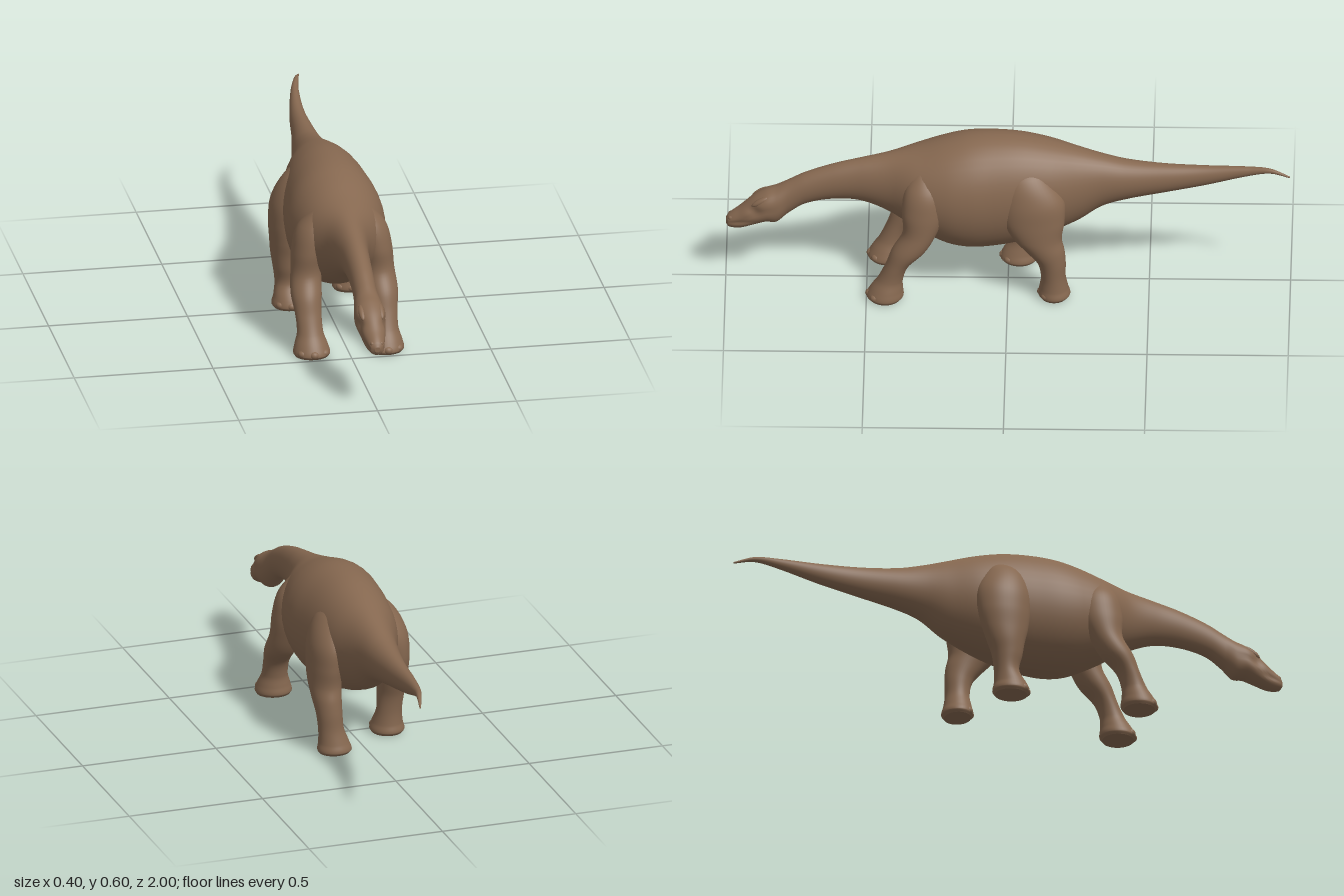
import * as THREE from 'three';

const RADIAL = 40;

// Catmull-Rom interpolation through every column of a row table
function smoothRows(rows, steps) {
  const out = [];
  const n = rows.length;
  for (let i = 0; i < n - 1; i++) {
    const p0 = rows[Math.max(i - 1, 0)], p1 = rows[i], p2 = rows[i + 1], p3 = rows[Math.min(i + 2, n - 1)];
    for (let s = 0; s < steps; s++) {
      const t = s / steps;
      out.push(p1.map((v, k) => {
        // slopes respect the uneven spacing of the first column
        const h = p2[0] - p1[0];
        const m1 = (p2[k] - p0[k]) / (p2[0] - p0[0]) * h;
        const m2 = (p3[k] - p1[k]) / (p3[0] - p1[0]) * h;
        const a = t * t * t, b = t * t;
        return (2 * a - 3 * b + 1) * v + (a - 2 * b + t) * m1 + (3 * b - 2 * a) * p2[k] + (a - b) * m2;
      }));
    }
  }
  out.push(rows[n - 1]);
  return out;
}

// Elliptical skin over rows; place(row, cos, sin) gives the surface point
function loft(rows, steps, place) {
  const rings = smoothRows(rows, steps);
  const pos = [], index = [];
  const addRing = (row) => {
    const start = pos.length / 3;
    for (let j = 0; j < RADIAL; j++) {
      const a = (j / RADIAL) * Math.PI * 2;
      pos.push(...place(row, Math.cos(a), Math.sin(a)));
    }
    return start;
  };
  rings.forEach(addRing);
  for (let i = 0; i < rings.length - 1; i++) {
    for (let j = 0; j < RADIAL; j++) {
      const k = (j + 1) % RADIAL;
      const a = i * RADIAL + j, b = a + RADIAL, c = i * RADIAL + k, d = c + RADIAL;
      index.push(a, b, c, c, b, d);
    }
  }
  // Flat end caps with their own vertices
  [rings[0], rings[rings.length - 1]].forEach((row, end) => {
    const start = addRing(row);
    const centre = pos.length / 3;
    pos.push(...place(row, 0, 0));
    for (let j = 0; j < RADIAL; j++) {
      const k = (j + 1) % RADIAL;
      if (end === 0) index.push(centre, start + j, start + k);
      else index.push(centre, start + k, start + j);
    }
  });
  const geo = new THREE.BufferGeometry();
  geo.setAttribute('position', new THREE.Float32BufferAttribute(pos, 3));
  geo.setIndex(index);
  geo.computeVertexNormals();
  return geo;
}

const bump = (v, centre, width) => Math.exp(-(((v - centre) / width) ** 2));

// Head, neck, trunk and tail: z, bottom, top, centre x, half width
const TORSO = [
  [1.0, 0.222, 0.242, 0, 0.01], [0.99, 0.209, 0.258, 0, 0.024], [0.95, 0.206, 0.29, 0, 0.036],
  [0.9, 0.222, 0.335, 0, 0.046], [0.86, 0.235, 0.36, 0, 0.053], [0.82, 0.234, 0.376, 0, 0.052],
  [0.78, 0.268, 0.398, 0, 0.044], [0.72, 0.308, 0.43, 0, 0.042], [0.62, 0.33, 0.467, 0, 0.046],
  [0.52, 0.325, 0.493, 0, 0.056], [0.42, 0.285, 0.516, 0, 0.083], [0.32, 0.225, 0.543, 0, 0.142],
  [0.22, 0.175, 0.577, 0.003, 0.17], [0.14, 0.157, 0.596, 0.003, 0.175], [0.05, 0.16, 0.602, 0.003, 0.166],
];
const TAIL = [
  [-0.05, 0.18, 0.596, 0.003, 0.153], [-0.15, 0.215, 0.575, 0.003, 0.133], [-0.25, 0.262, 0.546, 0.005, 0.098],
  [-0.33, 0.318, 0.523, 0.008, 0.074], [-0.42, 0.35, 0.503, 0.012, 0.059], [-0.55, 0.38, 0.492, 0.018, 0.042],
  [-0.7, 0.415, 0.49, 0.024, 0.028], [-0.85, 0.464, 0.5, 0.043, 0.015], [-0.93, 0.487, 0.505, 0.063, 0.009],
  [-1.0, 0.48, 0.486, 0.083, 0.003],
];

function placeTorso([z, lo, hi, cx, hw], c, s) {
  const y = (lo + hi) / 2 + s * (hi - lo) / 2;
  let w = hw * c;
  // Boxier skull, sunken eye sockets and a shallow mouth line
  const skull = bump(z, 0.89, 0.07);
  w *= 1 + 0.14 * skull * Math.abs(Math.sin(2 * Math.atan2(s, c)));
  w *= 1 - 0.2 * bump(z, 0.905, 0.025) * bump(y, 0.298, 0.018);
  w *= 1 - 0.12 * bump(z, 0.95, 0.045) * bump(y, 0.235 + (0.98 - z) * 0.2, 0.006);
  return [cx + w, y, z];
}

// Legs: y, back z, front z, distance from the middle, half width
const FRONT_LEG = [
  [0, 0.378, 0.49, 0.133, 0.06], [0.012, 0.368, 0.5, 0.133, 0.066], [0.04, 0.37, 0.487, 0.134, 0.059],
  [0.08, 0.37, 0.46, 0.135, 0.047], [0.14, 0.348, 0.432, 0.137, 0.047], [0.2, 0.29, 0.41, 0.137, 0.055],
  [0.27, 0.25, 0.372, 0.131, 0.055], [0.35, 0.22, 0.375, 0.12, 0.06], [0.43, 0.22, 0.365, 0.1, 0.06],
  [0.5, 0.26, 0.33, 0.07, 0.035],
];
const LEFT_HIND_LEG = [
  [0, -0.212, -0.116, 0.113, 0.055], [0.012, -0.222, -0.108, 0.113, 0.062], [0.04, -0.215, -0.112, 0.116, 0.055],
  [0.09, -0.206, -0.118, 0.125, 0.046], [0.15, -0.206, -0.105, 0.13, 0.047], [0.2, -0.202, -0.065, 0.132, 0.052],
  [0.25, -0.192, -0.02, 0.13, 0.057], [0.32, -0.202, 0.018, 0.124, 0.062], [0.4, -0.2, 0.028, 0.11, 0.068],
  [0.48, -0.15, 0.02, 0.085, 0.06], [0.54, -0.1, -0.02, 0.06, 0.025],
];
const RIGHT_HIND_LEG = [
  [0, -0.096, 0.02, 0.128, 0.055], [0.012, -0.105, 0.03, 0.128, 0.062], [0.04, -0.1, 0.02, 0.128, 0.055],
  [0.09, -0.1, -0.01, 0.13, 0.046], [0.15, -0.11, 0, 0.135, 0.048], [0.2, -0.128, 0.008, 0.137, 0.053],
  [0.25, -0.145, 0.02, 0.136, 0.057], [0.32, -0.16, 0.03, 0.132, 0.064], [0.4, -0.16, 0.034, 0.117, 0.07],
  [0.48, -0.13, 0.02, 0.088, 0.06], [0.54, -0.1, -0.02, 0.06, 0.025],
];

export function createModel() {
  const model = new THREE.Group();
  model.name = 'longNeckedDinosaur';
  const hide = new THREE.MeshStandardMaterial({ color: 0x866850 });
  hide.name = 'brownHide';

  const add = (parent, name, geo) => {
    const mesh = new THREE.Mesh(geo, hide);
    mesh.name = name;
    parent.add(mesh);
    return mesh;
  };

  add(model, 'headNeckBodyAndTail', loft([...TORSO, ...TAIL], 8, placeTorso));

  // Brow ridges and nostril swellings
  for (const side of [1, -1]) {
    const brow = add(model, 'browRidge', new THREE.SphereGeometry(1, 20, 14));
    brow.scale.set(0.012, 0.011, 0.035);
    brow.position.set(side * 0.034, 0.329, 0.878);
    brow.rotation.x = 0.55;
    const nostril = add(model, 'nostril', new THREE.SphereGeometry(1, 16, 12));
    nostril.scale.set(0.009, 0.009, 0.013);
    nostril.position.set(side * 0.016, 0.25, 0.979);
  }

  // Legs with three blunt toes each
  const addLeg = (name, rows, side) => {
    const leg = new THREE.Group();
    leg.name = name;
    model.add(leg);
    add(leg, 'limb', loft(rows, 6, ([y, lo, hi, cx, hw], c, s) =>
      [side * cx + hw * c, y, (lo + hi) / 2 + s * (hi - lo) / 2]));
    const [, back, front, cx, hw] = rows[1];
    for (const angle of [-0.85, 0, 0.85]) {
      const toe = add(leg, 'toe', new THREE.SphereGeometry(1, 16, 12));
      toe.scale.set(0.019, 0.016, 0.02);
      toe.position.set(
        side * cx + Math.sin(angle) * (hw - 0.016),
        0.017,
        (back + front) / 2 + Math.cos(angle) * ((front - back) / 2 - 0.016));
    }
  };
  addLeg('leftFrontLeg', FRONT_LEG, 1);
  addLeg('rightFrontLeg', FRONT_LEG, -1);
  addLeg('leftHindLeg', LEFT_HIND_LEG, 1);
  addLeg('rightHindLeg', RIGHT_HIND_LEG, -1);

  return model;
}
